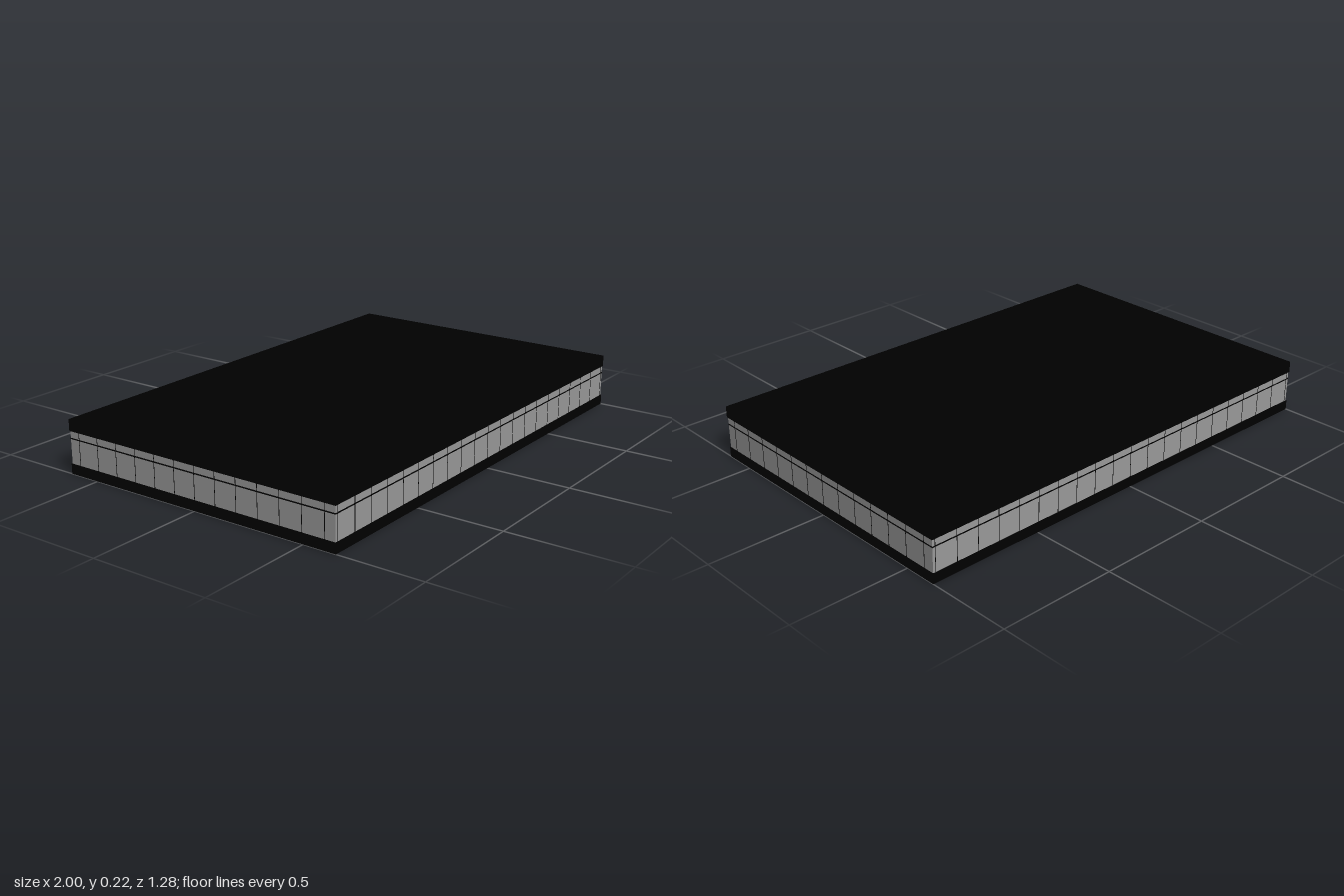
import * as THREE from 'three';

export function createModel() {
  const group = new THREE.Group();
  const black = new THREE.MeshStandardMaterial({ color: 0x000000 });
  const glass = new THREE.MeshStandardMaterial({ color: 0x999999 });

  const W = 1, D = 0.64;              // half width, half depth
  const floorTop = 0.042, glassTop = 0.177, ceiling = 0.216, top = 0.225;
  const step = 0.0985;                // facade grid

  // box given by its limits on each axis
  function box(name, material, x0, x1, y0, y1, z0, z1) {
    const mesh = new THREE.Mesh(new THREE.BoxGeometry(x1 - x0, y1 - y0, z1 - z0), material);
    mesh.position.set((x0 + x1) / 2, (y0 + y1) / 2, (z0 + z1) / 2);
    mesh.name = name;
    group.add(mesh);
  }

  // four straight pieces around a rectangle of half sizes w, d
  function frame(name, material, w, d, t, y0, y1) {
    for (const s of [-1, 1]) {
      const z = s * (d - t / 2), x = s * (w - t / 2);
      box(name, material, -w, w, y0, y1, z - t / 2, z + t / 2);
      box(name, material, x - t / 2, x + t / 2, y0, y1, -d + t, d - t);
    }
  }

  // thin roof deck on an edge frame, and a matching frame at the ground
  box('roofDeck', black, -W, W, ceiling, top, -D, D);
  frame('roofFrame', black, W, D, 0.045, glassTop, ceiling);
  frame('baseFrame', black, W, D, 0.045, 0, floorTop);

  // facade: glass, transom and mullions
  frame('glassWall', glass, W - 0.003, D - 0.003, 0.006, floorTop, glassTop);
  frame('transom', black, W - 0.002, D - 0.002, 0.008, 0.144, 0.149);
  const m = 0.001;
  for (const s of [-1, 1]) {
    for (let i = -10; i <= 10; i++) {
      const x = i * step, z = s * (D - 0.006);
      box('mullion', black, x - m, x + m, floorTop, glassTop, z - 0.004, z + 0.004);
    }
    for (let i = -6; i <= 6; i++) {
      const z = i * step, x = s * (W - 0.006);
      box('mullion', black, x - 0.004, x + 0.004, floorTop, glassTop, z - m, z + m);
    }
  }

  // cross walls with short fins towards the end facades
  for (const s of [-1, 1]) {
    const x = s * 0.785, end = s * 0.875, half = 6 * step + 0.003;
    box('crossWall', black, x - 0.004, x + 0.004, 0, ceiling, -half, half);
    for (let i = -3; i <= 3; i++) {
      const z = i * 2 * step;
      box('fin', black, Math.min(x, end), Math.max(x, end), 0.001, ceiling, z - 0.003, z + 0.003);
    }
  }

  // hollow central core
  frame('coreWall', black, 0.313, 0.167, 0.006, 0, ceiling);

  return group;
}
